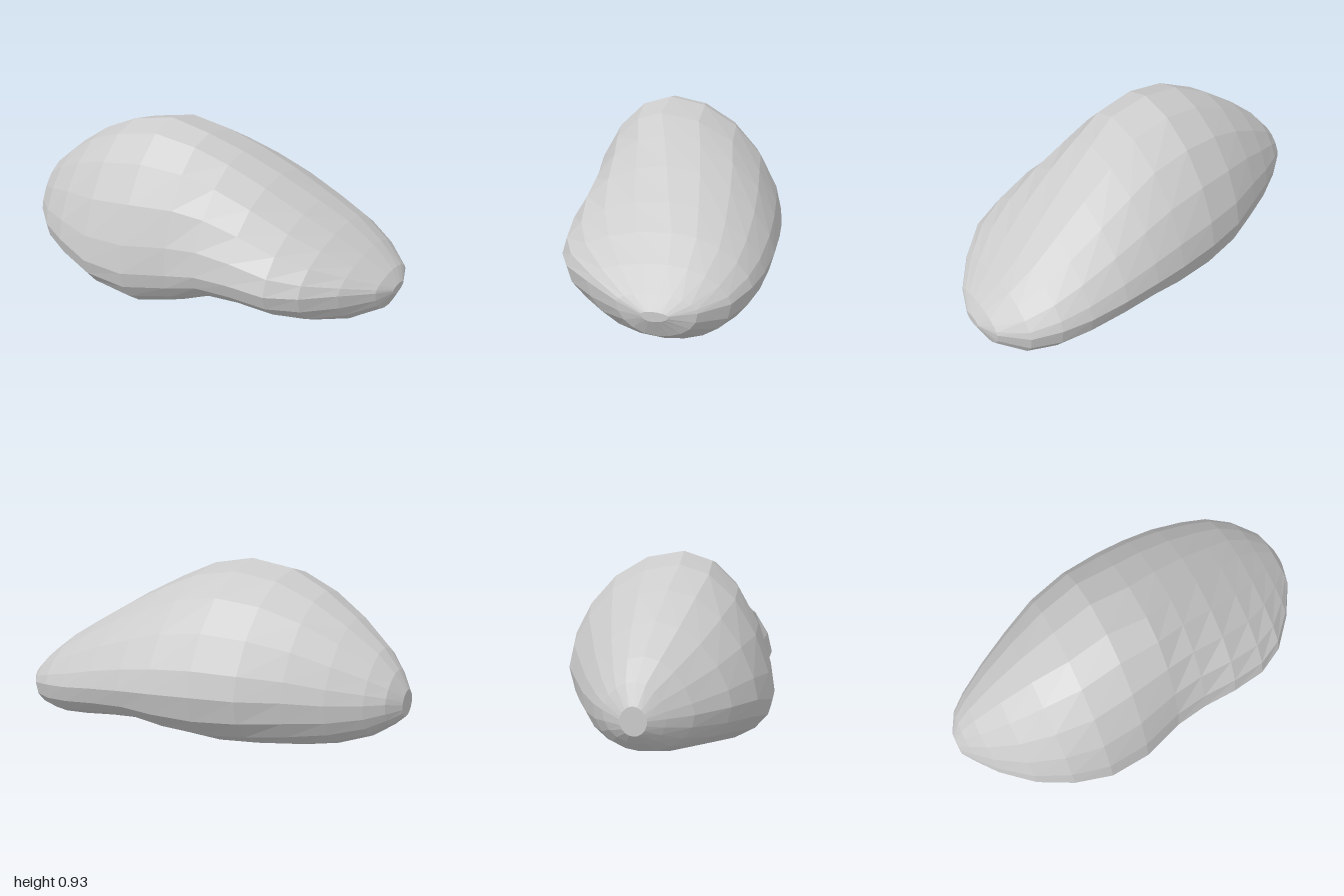
import * as THREE from 'three';

// Cross-sections along x: [x, topY, topZ, frontZ, frontY, bottomY, bottomZ, backZ, backY]
const SECTIONS = [
  [-1, 0.40, 0.07, 0.13, 0.34, 0.27, 0.07, 0.01, 0.34],
  [-0.95, 0.49, 0.07, 0.20, 0.34, 0.22, 0.07, -0.08, 0.36],
  [-0.87, 0.58, 0.08, 0.30, 0.34, 0.16, 0.06, -0.15, 0.36],
  [-0.72, 0.70, 0.09, 0.43, 0.34, 0.105, 0.03, -0.25, 0.36],
  [-0.55, 0.81, 0.10, 0.515, 0.33, 0.065, 0.04, -0.345, 0.37],
  [-0.36, 0.895, 0.11, 0.555, 0.28, 0.03, 0.13, -0.445, 0.37],
  [-0.15, 0.93, 0.08, 0.535, 0.26, 0.0, 0.19, -0.51, 0.37],
  [0.06, 0.887, 0.07, 0.465, 0.28, 0.035, 0.10, -0.545, 0.36],
  [0.22, 0.81, 0.01, 0.445, 0.31, 0.09, 0.0, -0.56, 0.35],
  [0.4, 0.71, -0.05, 0.44, 0.32, 0.09, -0.09, -0.565, 0.33],
  [0.58, 0.595, -0.11, 0.41, 0.30, 0.067, -0.13, -0.55, 0.30],
  [0.72, 0.50, -0.16, 0.335, 0.30, 0.05, -0.15, -0.52, 0.28],
  [0.85, 0.40, -0.18, 0.19, 0.29, 0.06, -0.16, -0.455, 0.25],
  [0.96, 0.305, -0.17, 0.02, 0.26, 0.12, -0.16, -0.335, 0.24],
  [1, 0.245, -0.15, -0.10, 0.23, 0.20, -0.15, -0.22, 0.23],
];
const STEPS = 5; // points per quarter of a section
const SIDES = STEPS * 4;

// One closed ring: four curved quarters joining top, front, bottom and back
function ring([x, topY, topZ, frontZ, frontY, bottomY, bottomZ, backZ, backY]) {
  const frontPower = THREE.MathUtils.clamp(1.27 - 0.3 * x, 1.05, 1.35);
  const quarters = [
    // pole y, pole z, side z, side y, power, runs from pole to side
    [topY, topZ, frontZ, frontY, frontPower, true],
    [bottomY, bottomZ, frontZ, frontY, 1, false],
    [bottomY, bottomZ, backZ, backY, 0.9, true],
    [topY, topZ, backZ, backY, 1.3, false],
  ];
  const points = [];
  for (const [py, pz, sz, sy, power, outward] of quarters) {
    for (let k = 0; k < STEPS; k++) {
      const t = (outward ? k : STEPS - k) / STEPS * Math.PI / 2;
      const rise = Math.pow(Math.max(0, Math.cos(t)), power);
      points.push([x, sy + (py - sy) * rise, pz + (sz - pz) * Math.sin(t)]);
    }
  }
  return points;
}

function bodyGeometry() {
  const rings = SECTIONS.map(ring);
  const positions = rings.flat(2);
  const indices = [];
  const last = rings.length - 1;
  for (let i = 0; i < last; i++) {
    for (let j = 0; j < SIDES; j++) {
      const a = i * SIDES + j;
      const c = i * SIDES + (j + 1) % SIDES;
      const b = a + SIDES;
      const d = c + SIDES;
      indices.push(a, c, b, b, c, d);
    }
  }
  // Close both ends with a fan
  for (const i of [0, last]) {
    const centre = positions.length / 3;
    for (let axis = 0; axis < 3; axis++) {
      positions.push(rings[i].reduce((sum, p) => sum + p[axis], 0) / SIDES);
    }
    for (let j = 0; j < SIDES; j++) {
      const a = i * SIDES + j;
      const b = i * SIDES + (j + 1) % SIDES;
      if (i === 0) indices.push(centre, b, a);
      else indices.push(centre, a, b);
    }
  }
  const geometry = new THREE.BufferGeometry();
  geometry.setAttribute('position', new THREE.Float32BufferAttribute(positions, 3));
  geometry.setIndex(indices);
  geometry.computeVertexNormals();
  return geometry;
}

export function createModel() {
  const group = new THREE.Group();
  group.name = 'rock';
  const material = new THREE.MeshStandardMaterial({ color: 0xcccccc, flatShading: true });
  const body = new THREE.Mesh(bodyGeometry(), material);
  body.name = 'rockBody';
  group.add(body);
  return group;
}
